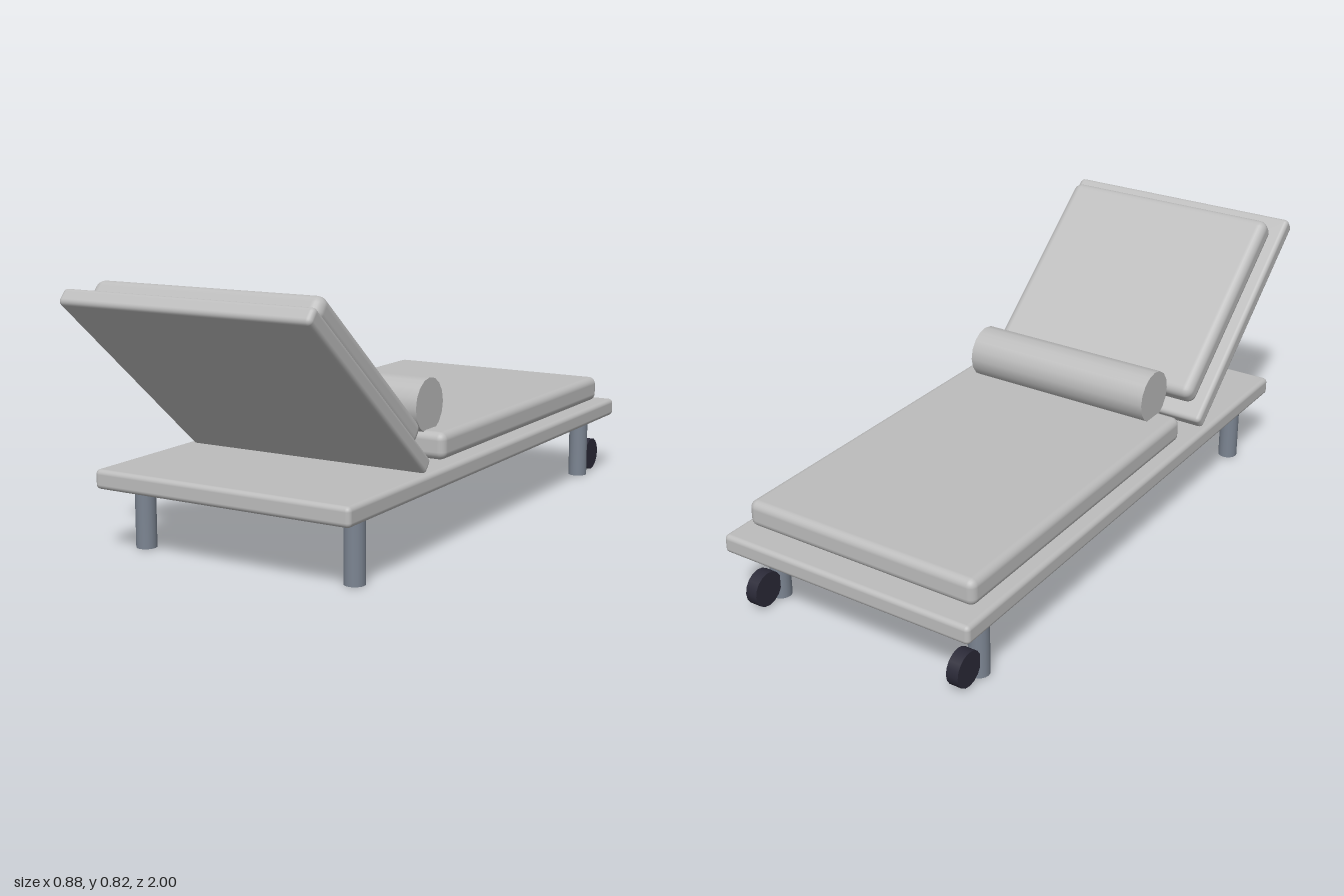
import * as THREE from 'three';
import { RoundedBoxGeometry } from 'three/addons/geometries/RoundedBoxGeometry.js';

const mat = (name, color) => {
  const m = new THREE.MeshStandardMaterial({ color });
  m.name = name;
  return m;
};

export function createModel() {
  const group = new THREE.Group();
  group.name = 'sunLounger';
  const grey = mat('light grey', 0xbcbcbc);
  const steel = mat('steel grey', 0x7c8592);
  const dark = mat('dark wheel', 0x2b2a38);

  const add = (name, geometry, material, x, y, z) => {
    const mesh = new THREE.Mesh(geometry, material);
    mesh.name = name;
    mesh.position.set(x, y, z);
    group.add(mesh);
    return mesh;
  };
  const slab = (w, h, d, r) => new RoundedBoxGeometry(w, h, d, 3, r);

  // Flat base and seat cushion
  add('baseFrame', slab(0.88, 0.06, 1.845, 0.015), grey, 0, 0.23, -0.0775);
  add('seatCushion', slab(0.81, 0.085, 1.175, 0.025), grey, 0, 0.307, -0.3375);

  // Raised backrest with its cushion
  const tilt = -THREE.MathUtils.degToRad(40);
  add('backrest', slab(0.84, 0.054, 0.81, 0.015), grey, 0, 0.532, 0.677).rotation.x = tilt;
  add('backCushion', slab(0.77, 0.08, 0.70, 0.03), grey, 0, 0.58, 0.628).rotation.x = tilt;

  // Round bolster across the seat
  const bolster = new THREE.CylinderGeometry(0.085, 0.085, 0.66, 16).rotateZ(Math.PI / 2);
  add('bolster', bolster, grey, 0, 0.422, 0.202);

  // Legs, with wheels behind the rear pair
  const leg = new THREE.CylinderGeometry(0.032, 0.032, 0.205, 16);
  const wheel = new THREE.CylinderGeometry(0.056, 0.056, 0.04, 16).rotateZ(Math.PI / 2);
  for (const [side, x] of [['left', 0.368], ['right', -0.368]]) {
    add(side + 'FrontLeg', leg, steel, x, 0.1025, 0.70);
    add(side + 'RearLeg', leg, steel, x, 0.1025, -0.85);
    add(side + 'Wheel', wheel, dark, x, 0.062, -0.926);
  }
  return group;
}
